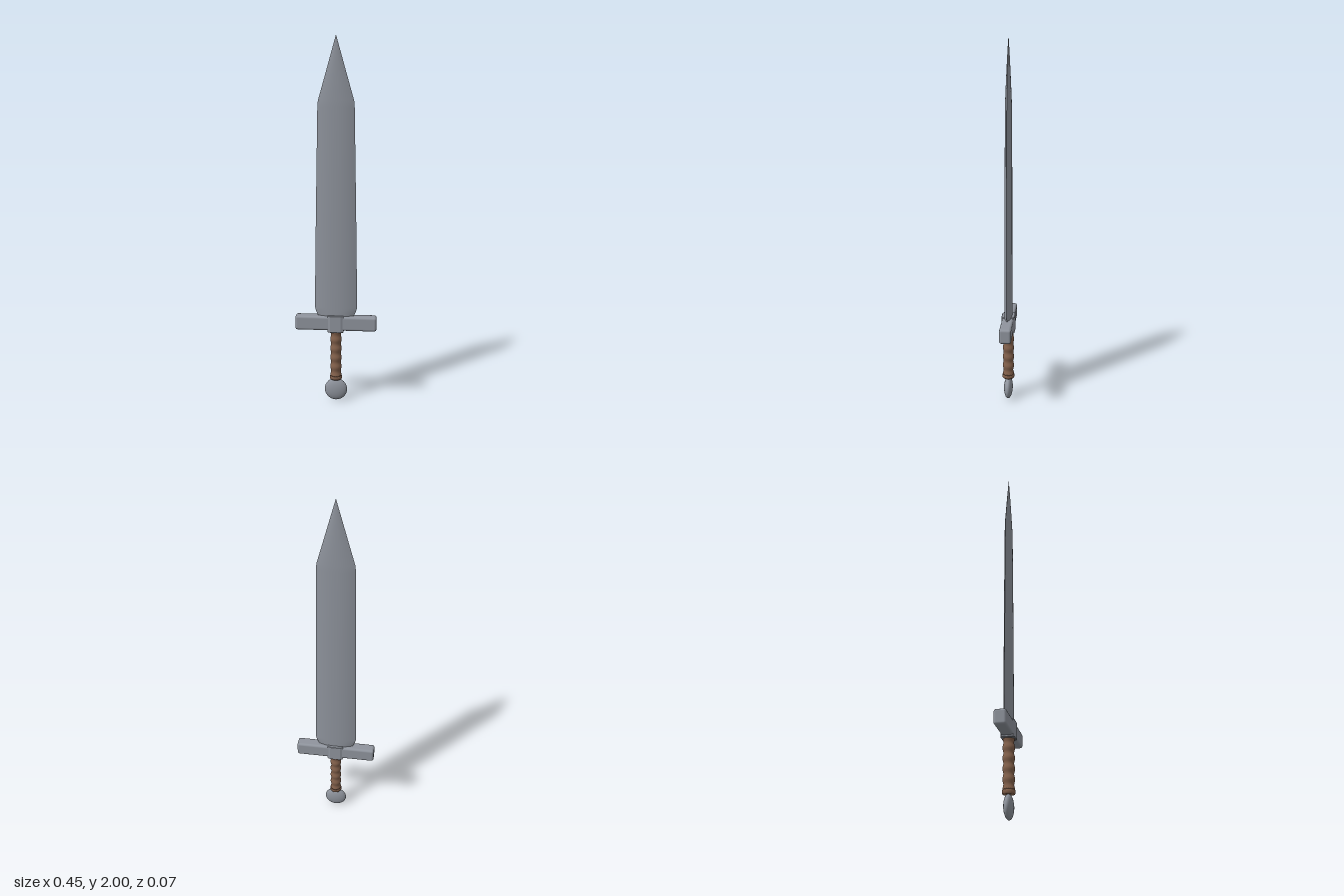
import * as THREE from 'three';
import { RoundedBoxGeometry } from 'three/addons/geometries/RoundedBoxGeometry.js';

const steel = new THREE.MeshStandardMaterial({ color: 0x8f949d });
steel.name = 'steel';
const leather = new THREE.MeshStandardMaterial({ color: 0x82604b });
leather.name = 'leather';

// One bulged face of the blade, lofted through [y, half width, half thickness]
const bladeSections = [
  [0.47, 0.095, 0.02], [0.5, 0.102, 0.021], [0.515, 0.11, 0.021], [0.54, 0.117, 0.021],
  [0.9, 0.112, 0.02], [1.3, 0.105, 0.019], [1.63, 0.099, 0.017], [1.665, 0.096, 0.0165],
  [1.78, 0.063, 0.012], [1.9, 0.029, 0.0065], [2.0, 0.0005, 0.0005],
];

function bladeFace() {
  const n = 16, pos = [], idx = [];
  for (const [y, w, t] of bladeSections) {
    for (let i = 0; i <= n; i++) {
      const u = -1 + (2 * i) / n;
      pos.push(u * w, y, t * (1 - Math.pow(Math.abs(u), 2.2)));
    }
  }
  for (let j = 0; j < bladeSections.length - 1; j++) {
    for (let i = 0; i < n; i++) {
      const a = j * (n + 1) + i, b = a + n + 1;
      idx.push(a, a + 1, b + 1, a, b + 1, b);
    }
  }
  const g = new THREE.BufferGeometry();
  g.setAttribute('position', new THREE.Float32BufferAttribute(pos, 3));
  g.setIndex(idx);
  g.computeVertexNormals();
  return g;
}

export function createModel() {
  const root = new THREE.Group();
  root.name = 'sword';
  const add = (name, geometry, material, y = 0) => {
    const m = new THREE.Mesh(geometry, material);
    m.name = name;
    m.position.y = y;
    root.add(m);
    return m;
  };

  // Blade: two faces meeting at sharp edges
  add('bladeFront', bladeFace(), steel);
  add('bladeBack', bladeFace().rotateY(Math.PI), steel);

  // Crossguard with softened edges
  add('crossguard', new RoundedBoxGeometry(0.45, 0.08, 0.064, 3, 0.013), steel, 0.453);

  // Central collar of the guard, drawn in at the bottom
  const outline = [
    [-0.045, -0.03], [-0.03, -0.037], [0.03, -0.037], [0.045, -0.03],
    [0.045, 0.03], [0.03, 0.037], [-0.03, 0.037], [-0.045, 0.03],
  ].map(([x, z]) => new THREE.Vector2(x * 0.93, z * 0.93));
  const collar = new THREE.ExtrudeGeometry(new THREE.Shape(outline), {
    depth: 0.08, bevelEnabled: true, bevelSize: 0.003, bevelThickness: 0.007, bevelSegments: 2,
  });
  collar.rotateX(-Math.PI / 2);
  add('guardCollar', collar, steel, 0.41);

  // Ribbed grip: a lathe with evenly spaced swellings
  const grip = [new THREE.Vector2(0, 0.145)];
  for (let i = 0; i <= 40; i++) {
    const t = i / 40;
    grip.push(new THREE.Vector2(0.0295 + 0.0025 * Math.cos(t * Math.PI * 10), 0.145 + t * 0.265));
  }
  add('grip', new THREE.LatheGeometry(grip, 20), leather);

  // Flared foot of the grip
  const foot = [[0, 0.124], [0.03, 0.124], [0.034, 0.129], [0.034, 0.141], [0.031, 0.148], [0, 0.148]];
  add('gripFoot', new THREE.LatheGeometry(foot.map(([r, y]) => new THREE.Vector2(r, y)), 20), leather);

  // Flattened disc pommel
  const pommel = new THREE.SphereGeometry(0.063, 32, 20).rotateX(Math.PI / 2).scale(1, 1, 0.39);
  add('pommel', pommel, steel, 0.0635);

  return root;
}
